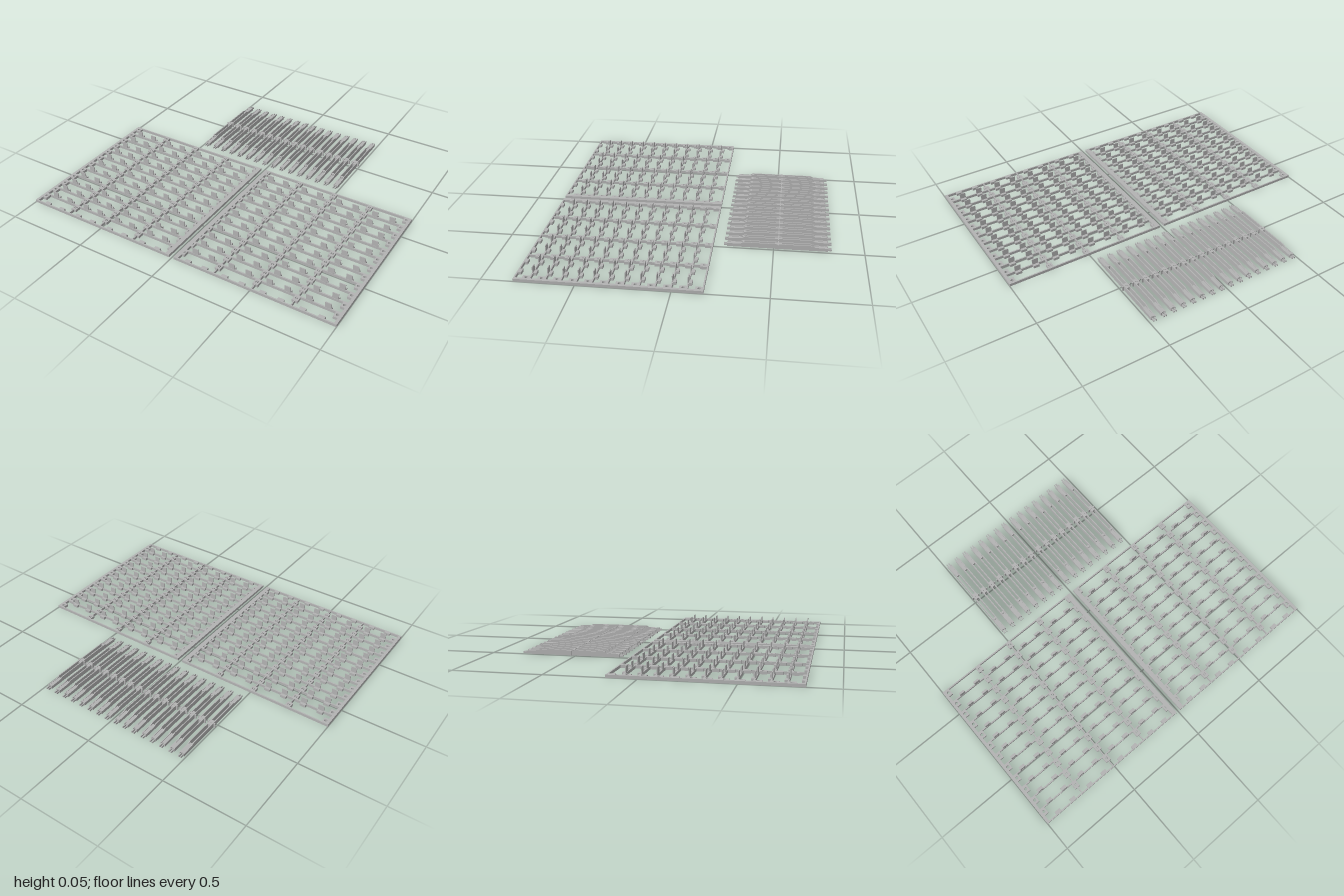
import * as THREE from 'three';

const gray = new THREE.MeshStandardMaterial({ color: 0xb2b2b2 });
gray.name = 'plastic gray';

const PITCH = 0.082, BACK = -0.161, ROWS = 12, H = 0.016;

function add(parent, name, geometry, x = 0, y = 0, z = 0) {
  const mesh = new THREE.Mesh(geometry, gray);
  mesh.name = name;
  mesh.position.set(x, y, z);
  parent.add(mesh);
  return mesh;
}

// box given by its extents on each axis
function block(parent, name, [x0, x1], [y0, y1], [z0, z1]) {
  return add(parent, name, new THREE.BoxGeometry(x1 - x0, y1 - y0, z1 - z0),
    (x0 + x1) / 2, (y0 + y1) / 2, (z0 + z1) / 2);
}

// flat lug with a round through hole
function lugGeometry(w, d, r) {
  const s = new THREE.Shape();
  s.moveTo(-w / 2, -d / 2).lineTo(w / 2, -d / 2).lineTo(w / 2, d / 2).lineTo(-w / 2, d / 2).closePath();
  const hole = new THREE.Path();
  hole.absarc(0, 0, r, 0, Math.PI * 2, true);
  s.holes.push(hole);
  return new THREE.ExtrudeGeometry(s, { depth: H, bevelEnabled: false, curveSegments: 5 }).rotateX(-Math.PI / 2);
}

// side = -1 or 1; x is measured outward from the middle
function createPanel(side) {
  const panel = new THREE.Group();
  panel.name = side > 0 ? 'leftPanel' : 'rightPanel';
  const span = (a, b) => side > 0 ? [a, b] : [-b, -a];
  const front = BACK + ROWS * PITCH;
  const lug = lugGeometry(0.033, 0.042, 0.009);
  const tabGeo = new THREE.BoxGeometry(0.036, 0.034, 0.005);
  const footGeo = new THREE.BoxGeometry(0.036, H, 0.018);

  // frame sides
  block(panel, 'innerRail', span(0.015, 0.042), [0, H], [BACK - 0.004, front + 0.004]);
  block(panel, 'outerRail', span(0.983, 1), [0, H], [BACK - 0.004, front + 0.004]);

  // stringers running front to back
  for (const x of [0.272, 0.507, 0.741])
    block(panel, 'stringer', span(x - 0.003, x + 0.003), [0, H], [BACK, front]).visible = true;

  for (let k = 0; k <= ROWS; k++) {
    const z = BACK + k * PITCH;
    block(panel, 'crossBar', span(0.015, 1), [0, H], [z - 0.004, z + 0.004]);

    // drilled lugs in front of each bar
    if (k < ROWS)
      for (const x of [0.040, 0.272, 0.507, 0.741, 0.974])
        add(panel, 'lug', lug, side * x, 0, z + 0.02);

    // pairs of tabs behind each bar, upright except on the front bar
    if (k > 0)
      for (const x of [0.103, 0.210, 0.337, 0.444, 0.571, 0.678, 0.804, 0.912]) {
        add(panel, 'tabFoot', footGeo, side * x, H / 2, z - 0.011);
        if (k < ROWS) add(panel, 'tab', tabGeo, side * x, H + 0.017, z);
      }
  }
  return panel;
}

// stepped outline of one wall of a link, drawn along z
function wallGeometry() {
  const s = new THREE.Shape([
    [-0.80, 0], [-0.24, 0], [-0.24, 0.018], [-0.315, 0.02], [-0.33, 0.029],
    [-0.71, 0.029], [-0.73, 0.02], [-0.80, 0.018],
  ].map(([z, y]) => new THREE.Vector2(-z, y)).reverse());
  const g = new THREE.ExtrudeGeometry(s, { depth: 0.006, bevelEnabled: false });
  return g.rotateY(Math.PI / 2).translate(-0.003, 0, 0);
}

function createLink(wall, peg) {
  const link = new THREE.Group();
  for (const s of [-1, 1]) {
    add(link, 'linkWall', wall, s * 0.0115, 0, 0);
    // prongs at both ends
    const x = s * 0.007;
    block(link, 'prong', [x - 0.003, x + 0.003], [0.002, 0.012], [-0.82, -0.79]);
    block(link, 'prong', [x - 0.003, x + 0.003], [0.002, 0.012], [-0.25, -0.222]);
  }
  // webs joining the two walls
  block(link, 'endBlock', [-0.012, 0.012], [0, 0.017], [-0.795, -0.71]);
  block(link, 'endBlock', [-0.012, 0.012], [0, 0.017], [-0.335, -0.245]);
  block(link, 'middleBlock', [-0.012, 0.012], [0, 0.026], [-0.545, -0.505]);
  block(link, 'crossPin', [-0.025, 0.025], [0, 0.029], [-0.528, -0.522]);
  add(link, 'peg', peg, 0, 0.014, -0.332);
  return link;
}

export function createModel() {
  const model = new THREE.Group();
  model.name = 'panelsAndLinks';
  model.add(createPanel(-1), createPanel(1));

  // row of loose links behind the panels
  const wall = wallGeometry();
  const peg = new THREE.CylinderGeometry(0.008, 0.008, 0.028, 10);
  for (let i = 0; i < 16; i++) {
    const link = createLink(wall, peg);
    link.name = 'link' + (i + 1);
    link.position.x = -0.475 + i * 0.063;
    model.add(link);
  }
  return model;
}
